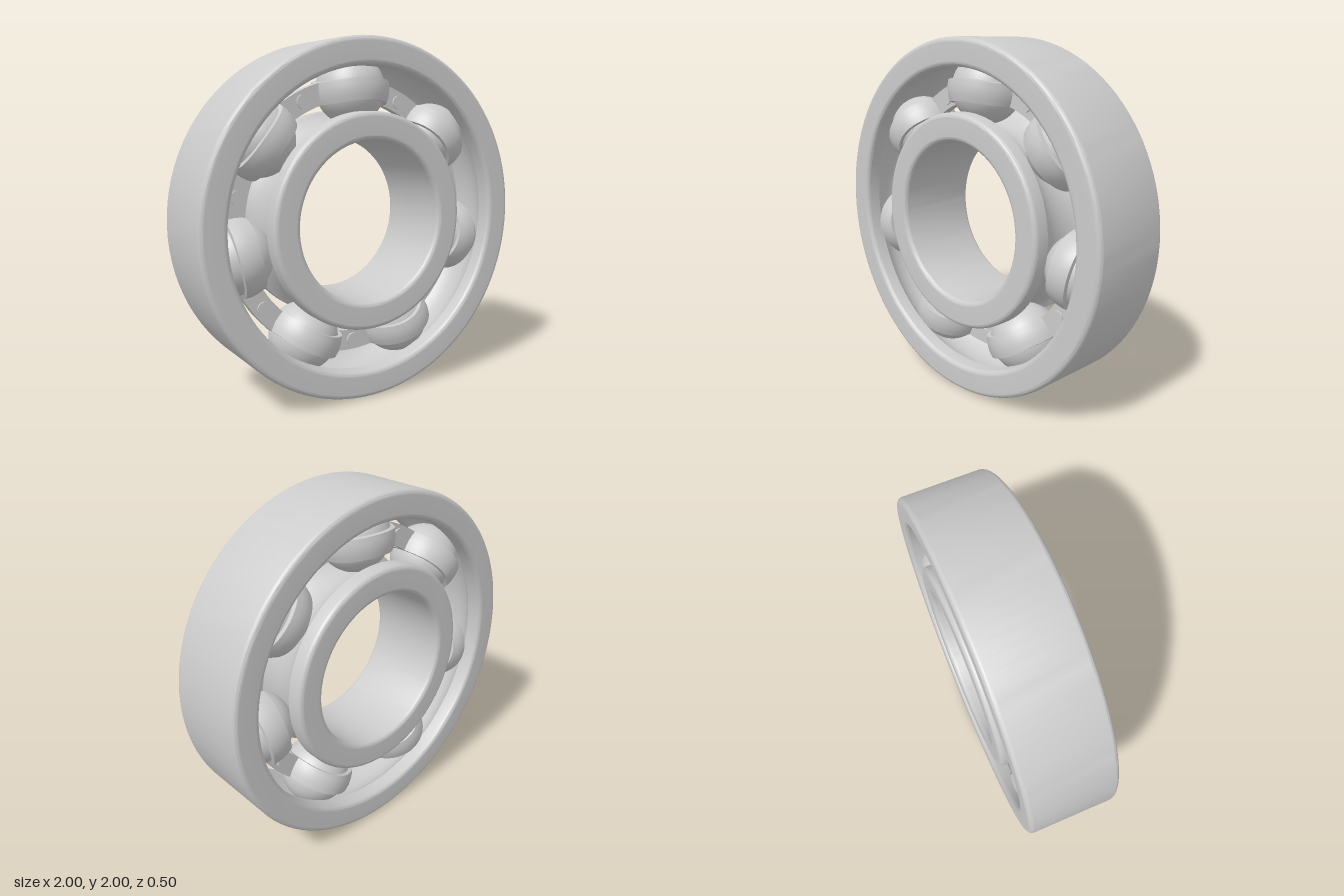
import * as THREE from 'three';
import { toCreasedNormals } from 'three/addons/utils/BufferGeometryUtils.js';

const BALLS = 7;
const PITCH = 0.725;      // radius of the circle through the ball centres
const BALL_R = 0.197;
const GROOVE_R = 0.2;
const HALF_WIDTH = 0.25;
const FILLET = 0.028;
const CAGE_IN = 0.665, CAGE_OUT = 0.785;
const POCKET_R = 0.22;    // outside of the cage pockets
const SHEET = 0.025;      // cage sheet thickness

const material = new THREE.MeshStandardMaterial({ color: 0xcccccc });

function addMesh(parent, geometry, name) {
  const mesh = new THREE.Mesh(geometry, material);
  mesh.name = name;
  parent.add(mesh);
  return mesh;
}

// Race with rounded corners and a ball groove on its outer or inner side
function raceGeometry(r0, r1, grooveOutside) {
  const h = HALF_WIDTH, f = FILLET, q = Math.PI / 2;
  const s = new THREE.Shape();
  s.absarc(r1 - f, -h + f, f, -q, 0, false);
  if (grooveOutside) {
    const b = Math.acos((PITCH - r1) / GROOVE_R);
    s.absarc(PITCH, 0, GROOVE_R, Math.PI + b, Math.PI - b, true);
  }
  s.absarc(r1 - f, h - f, f, 0, q, false);
  s.absarc(r0 + f, h - f, f, q, 2 * q, false);
  if (!grooveOutside) {
    const b = Math.acos((r0 - PITCH) / GROOVE_R);
    s.absarc(PITCH, 0, GROOVE_R, b, -b, true);
  }
  s.absarc(r0 + f, -h + f, f, 2 * q, 3 * q, false);
  s.closePath();
  const lathe = new THREE.LatheGeometry(s.getPoints(8), 96);
  lathe.rotateX(Math.PI / 2);
  return toCreasedNormals(lathe, 0.6);
}

// Point of a cage surface: a spherical pocket of radius R over each ball,
// then a flat web at height z0. u runs from -1 to 1 over one pitch.
function cagePoint(ball, u, r, R, z0) {
  const edge = Math.acos((r * r + PITCH * PITCH - R * R + z0 * z0) / (2 * r * PITCH));
  const half = Math.PI / BALLS, k = Math.abs(u), split = 0.8;
  let a, z = z0;
  if (k < split) {
    a = edge * Math.sin((k / split) * Math.PI / 2);
    const d2 = r * r + PITCH * PITCH - 2 * r * PITCH * Math.cos(a);
    z = Math.sqrt(Math.max(R * R - d2, z0 * z0));
  } else {
    a = edge + (half - edge) * (k - split) / (1 - split);
  }
  const t = Math.PI / 2 + ball * 2 * half + Math.sign(u) * a;
  return [r * Math.cos(t), r * Math.sin(t), z];
}

// Front half of the cage, lofted round the ring from closed cross-sections
function cageHalfGeometry() {
  const steps = 40, across = 4, loop = 2 * (across + 1);
  const positions = [], index = [];
  for (let b = 0; b < BALLS; b++) {
    for (let i = 0; i < steps; i++) {
      const u = -1 + 2 * i / steps;
      for (let j = 0; j <= across; j++) {
        const r = CAGE_IN + (CAGE_OUT - CAGE_IN) * j / across;
        positions.push(...cagePoint(b, u, r, POCKET_R, SHEET));
      }
      for (let j = across; j >= 0; j--) {
        const r = CAGE_IN + (CAGE_OUT - CAGE_IN) * j / across;
        positions.push(...cagePoint(b, u, r, BALL_R, 0));
      }
    }
  }
  const sections = BALLS * steps;
  for (let i = 0; i < sections; i++) {
    const m = i * loop, n = ((i + 1) % sections) * loop;
    for (let j = 0; j < loop; j++) {
      const k = (j + 1) % loop;
      index.push(m + j, m + k, n + k, m + j, n + k, n + j);
    }
  }
  const g = new THREE.BufferGeometry();
  g.setAttribute('position', new THREE.Float32BufferAttribute(positions, 3));
  g.setIndex(index);
  return toCreasedNormals(g, 0.6);
}

export function createModel() {
  const model = new THREE.Group();
  model.name = 'ballBearing';
  const body = new THREE.Group();
  body.name = 'bearingBody';
  body.position.y = 1;
  model.add(body);

  // Races
  addMesh(body, raceGeometry(0.845, 1, false), 'outerRace');
  addMesh(body, raceGeometry(0.45, 0.605, true), 'innerRace');

  // Two-piece cage
  const cage = cageHalfGeometry();
  addMesh(body, cage, 'cageFront');
  addMesh(body, cage, 'cageBack').rotation.y = Math.PI;

  // Balls, with a rivet midway between each pair
  const ball = new THREE.SphereGeometry(BALL_R, 40, 28);
  const rivet = new THREE.CylinderGeometry(0.039, 0.039, 2 * SHEET + 0.02, 24);
  rivet.rotateX(Math.PI / 2);
  for (let i = 0; i < BALLS; i++) {
    const a = Math.PI / 2 + i * 2 * Math.PI / BALLS;
    const b = a + Math.PI / BALLS;
    addMesh(body, ball, 'ball').position.set(PITCH * Math.cos(a), PITCH * Math.sin(a), 0);
    addMesh(body, rivet, 'rivet').position.set(PITCH * Math.cos(b), PITCH * Math.sin(b), 0);
  }
  return model;
}
